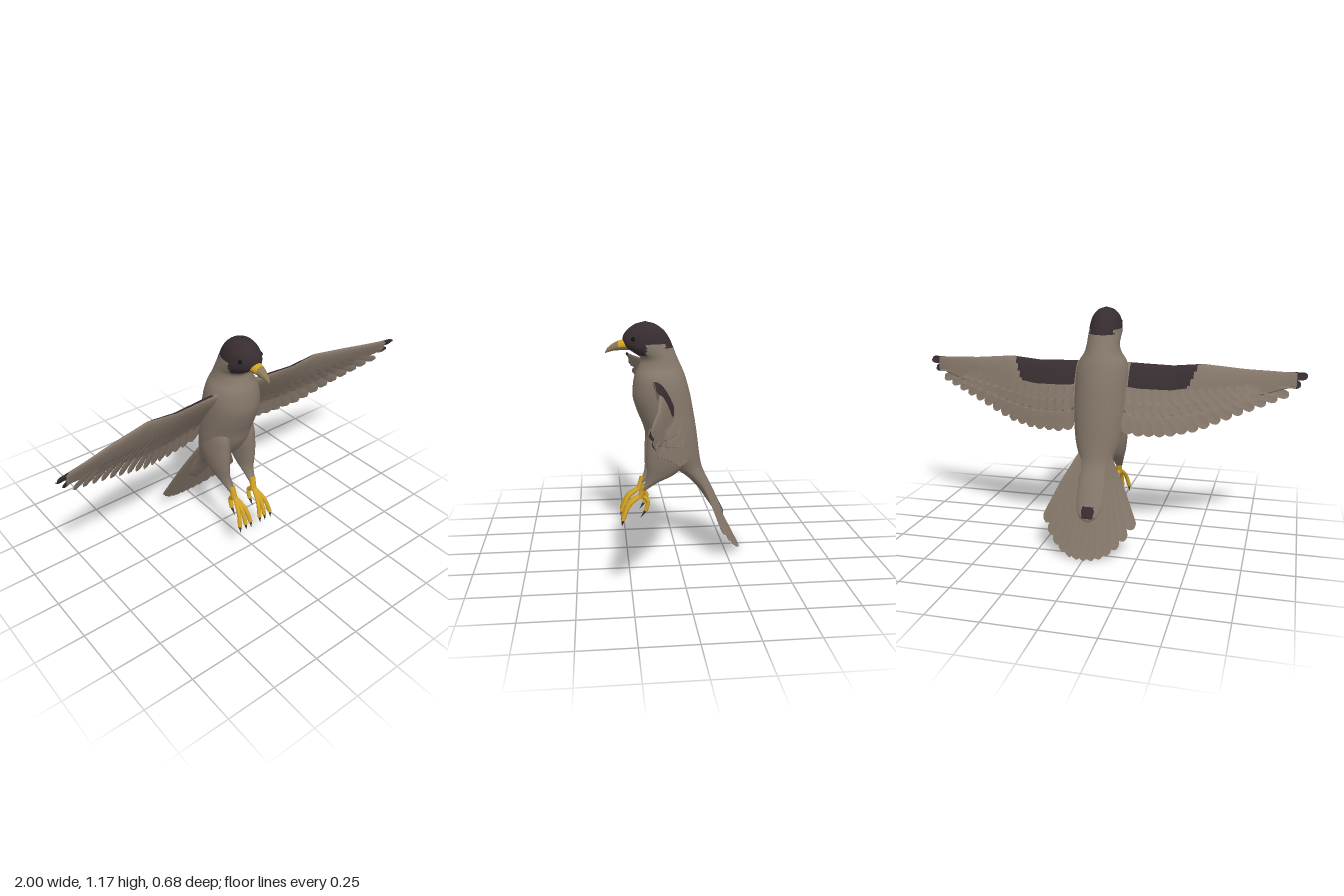
import * as THREE from 'three';

const mat = (name, color, side = THREE.FrontSide) => {
  const m = new THREE.MeshStandardMaterial({ color, side });
  m.name = name;
  return m;
};
const plumage = mat('grey-brown plumage', 0x85776a, THREE.DoubleSide);
const dark = mat('dark plumage', 0x372d30, THREE.DoubleSide);
const yellow = mat('yellow skin', 0xd2a326);
const horn = mat('beak horn', 0x8a7a58);
const claw = mat('claw', 0x3b3537);
const eyeBlack = mat('eye', 0x141214);

const { lerp, clamp } = THREE.MathUtils;

// Grid surface; pick(centroid) chooses the material index of each quad
function grid(name, rows, cols, closed, point, materials, pick = () => 0) {
  const stride = closed ? cols : cols + 1;
  const pts = [];
  for (let i = 0; i <= rows; i++)
    for (let j = 0; j < stride; j++) pts.push(point(i / rows, j / cols));
  const faces = materials.map(() => []);
  for (let i = 0; i < rows; i++)
    for (let j = 0; j < cols; j++) {
      const k = (j + 1) % stride;
      const [a, b, c, d] = [i * stride + j, i * stride + k, (i + 1) * stride + j, (i + 1) * stride + k];
      const mid = pts[a].clone().add(pts[b]).add(pts[c]).add(pts[d]).multiplyScalar(0.25);
      faces[pick(mid)].push(a, b, c, b, d, c);
    }
  const geo = new THREE.BufferGeometry().setFromPoints(pts);
  geo.setIndex(faces.flat());
  let start = 0;
  faces.forEach((f, m) => { geo.addGroup(start, f.length, m); start += f.length; });
  geo.computeVertexNormals();
  const mesh = new THREE.Mesh(geo, materials.length > 1 ? materials : materials[0]);
  mesh.name = name;
  return mesh;
}

// Smooth oval loft; each ring is [position on axis, low, high, half width, x offset]
function loft(name, rings, axis, materials, pick, cols = 40) {
  const main = new THREE.CatmullRomCurve3(rings.map(r => new THREE.Vector3(r[0], r[1], r[2])), false, 'catmullrom');
  const side = new THREE.CatmullRomCurve3(rings.map(r => new THREE.Vector3(r[3], r[4] || 0, 0)), false, 'catmullrom');
  return grid(name, (rings.length - 1) * 5, cols, true, (t, s) => {
    const p = main.getPoint(t), w = side.getPoint(t), a = s * Math.PI * 2;
    const x = w.y + Math.cos(a) * Math.max(w.x, 0.001);
    const h = (p.y + p.z) / 2 + Math.sin(a) * (p.z - p.y) / 2;
    return axis === 'y' ? new THREE.Vector3(x, p.x, h) : new THREE.Vector3(x, h, p.x);
  }, materials, pick);
}

// Flat round-tipped feather laid on the surface z = depth(x, y)
function feather(name, bx, by, tx, ty, width, depth, lift = 0, materials = [plumage], pick) {
  const len = Math.hypot(tx - bx, ty - by), nx = -(ty - by) / len, ny = (tx - bx) / len;
  const tip = clamp(width * 1.1 / len, 0.06, 0.5);
  return grid(name, 14, 4, false, (r, s) => {
    const t = Math.sin(r * Math.PI / 2);
    const round = t > 1 - tip ? Math.sqrt(Math.max(0, 1 - ((t - 1 + tip) / tip) ** 2)) : 1;
    const c = s * 2 - 1, w = c * width * Math.min(1, 0.55 + t) * round;
    const x = lerp(bx, tx, t) + nx * w, y = lerp(by, ty, t) + ny * w;
    return new THREE.Vector3(x, y, depth(x, y) + lift + 0.004 * c + 0.003 * (1 - c * c));
  }, materials, pick);
}

// Wing outline: upper and lower edges in y and z along the span
const SPAN = [0.08, 0.2, 0.35, 0.5, 0.7, 0.85, 0.95, 1.0];
const EDGE = {
  yT: [0.91, 0.905, 0.9, 0.915, 0.895, 0.885, 0.878, 0.875],
  yB: [0.6, 0.575, 0.575, 0.605, 0.69, 0.75, 0.79, 0.85],
  zT: [0.115, 0.115, 0.12, 0.118, 0.14, 0.17, 0.185, 0.195],
  zB: [-0.04, -0.04, -0.015, 0.03, 0.09, 0.14, 0.175, 0.192],
};
function edge(key, x) {
  let i = 0;
  while (i < SPAN.length - 2 && x > SPAN[i + 1]) i++;
  return lerp(EDGE[key][i], EDGE[key][i + 1], clamp((x - SPAN[i]) / (SPAN[i + 1] - SPAN[i]), 0, 1));
}
const chord = (x, y) => clamp((edge('yT', x) - y) / (edge('yT', x) - edge('yB', x)), 0, 1);
const chordY = (x, v) => lerp(edge('yT', x), edge('yB', x), v);
const wingBack = (x, y) => lerp(edge('zT', x), edge('zB', x), Math.sqrt(chord(x, y)));
const wingThick = (x, y) =>
  lerp(0.06, 0.008, clamp(x, 0, 1)) * Math.sin(Math.PI * Math.sqrt(Math.min(1, chord(x, y) / 0.72)));
const wingMid = (x, y) => wingBack(x, y) + wingThick(x, y) / 2;
const wingFront = (x, y) => wingBack(x, y) + wingThick(x, y);

function makeWing() {
  const wing = new THREE.Group();
  // Fleshy arm with the dark shoulder patch on its back
  wing.add(grid('wingArm', 60, 48, true, (u, s) => {
    const x = lerp(0.08, 0.95, u), front = s < 0.5;
    const v = 0.72 * (front ? s * 2 : 2 - s * 2) ** 1.6;
    const y = chordY(x, v);
    return new THREE.Vector3(x, y, front ? wingFront(x, y) : wingBack(x, y));
  }, [plumage, dark], p =>
    p.x > 0.14 && p.x < 0.48 - 0.15 * chord(p.x, p.y) && chord(p.x, p.y) < 0.35 && p.z < wingMid(p.x, p.y) ? 1 : 0));
  // Flight feathers, dark at the wing tip
  const count = 17;
  for (let i = 0; i < count; i++) {
    const k = i / (count - 1);
    const tx = i === count - 1 ? 1 : lerp(0.16, 0.97, i / (count - 2));
    const ty = i === count - 1 ? 0.862 : edge('yB', tx) + (i === count - 2 ? 0.005 : -0.008);
    const bx = 0.14 + (tx - 0.16) * 0.55;
    wing.add(feather('flightFeather', bx, edge('yT', bx) - lerp(0.1, 0.04, k), tx, ty,
      lerp(0.036, 0.019, k), wingMid, 0, [plumage, dark], p => (p.x > 0.945 ? 1 : 0)));
  }
  // Rows of short coverts on both faces
  for (const v of [0.74, 0.56])
    for (let i = 0; i < 14; i++) {
      const x = 0.15 + i * 0.043, tx = x + 0.02 + i * 0.004;
      const y0 = chordY(x, v - 0.2), y1 = chordY(tx, v);
      wing.add(feather('backCovert', x, y0, tx, y1, 0.025, wingBack, -0.006));
      wing.add(feather('frontCovert', x, y0, tx, y1, 0.025, wingFront, 0.004));
    }
  return wing;
}

function tube(name, points, radius, material) {
  const curve = new THREE.CatmullRomCurve3(points.map(p => new THREE.Vector3(...p)));
  const mesh = new THREE.Mesh(new THREE.TubeGeometry(curve, 12, radius, 10), material);
  mesh.name = name;
  return mesh;
}

function spike(from, to) {
  const a = new THREE.Vector3(...from), d = new THREE.Vector3(...to).sub(a);
  const mesh = new THREE.Mesh(new THREE.ConeGeometry(0.009, d.length(), 10), claw);
  mesh.position.copy(a).addScaledVector(d, 0.5);
  mesh.quaternion.setFromUnitVectors(new THREE.Vector3(0, 1, 0), d.normalize());
  mesh.name = 'claw';
  return mesh;
}

function makeLeg() {
  const leg = new THREE.Group();
  leg.add(loft('thigh', [
    [0.7, 0.03, 0.08, 0.01, 0.07], [0.66, -0.03, 0.135, 0.045, 0.075], [0.56, -0.06, 0.147, 0.052, 0.08],
    [0.48, -0.04, 0.149, 0.044, 0.081], [0.425, 0.01, 0.149, 0.034, 0.077],
    [0.385, 0.09, 0.158, 0.026, 0.071], [0.345, 0.15, 0.182, 0.017, 0.066]], 'y', [plumage], undefined, 24));
  leg.add(tube('shank', [[0.067, 0.375, 0.16], [0.065, 0.34, 0.17], [0.062, 0.3, 0.182]], 0.016, yellow));
  for (const d of [-0.032, 0, 0.037]) {
    const x = 0.062 + d;
    leg.add(tube('frontToe', [[0.062, 0.315, 0.178], [0.062 + d * 0.6, 0.268, 0.24], [x, 0.195, 0.272]], 0.0105, yellow));
    leg.add(spike([x, 0.2, 0.271], [x, 0.162, 0.278]));
  }
  leg.add(tube('backToe', [[0.062, 0.315, 0.175], [0.06, 0.28, 0.143], [0.06, 0.23, 0.155]], 0.0105, yellow));
  leg.add(spike([0.06, 0.235, 0.153], [0.06, 0.193, 0.182]));
  return leg;
}

export function createModel() {
  const bird = new THREE.Group();
  bird.name = 'bird';

  // Head, trunk and rump in one skin, with dark hood, cheek stripes and rump spot
  bird.add(loft('body', [
    [1.178, 0.14, 0.15, 0.004], [1.165, 0.095, 0.195, 0.04], [1.135, 0.055, 0.235, 0.066],
    [1.1, 0.03, 0.255, 0.077], [1.06, 0.012, 0.247, 0.082], [1.03, 0, 0.205, 0.082],
    [1.0, -0.012, 0.168, 0.082], [0.96, -0.03, 0.18, 0.093], [0.92, -0.047, 0.198, 0.118],
    [0.87, -0.062, 0.208, 0.133], [0.81, -0.077, 0.21, 0.137], [0.74, -0.09, 0.19, 0.137],
    [0.67, -0.102, 0.162, 0.135], [0.6, -0.112, 0.14, 0.13], [0.52, -0.122, 0.09, 0.115],
    [0.45, -0.135, 0.02, 0.088], [0.4, -0.155, -0.05, 0.076], [0.34, -0.185, -0.11, 0.072],
    [0.26, -0.222, -0.165, 0.068], [0.2, -0.25, -0.205, 0.05], [0.17, -0.25, -0.235, 0.006],
  ], 'y', [plumage, dark], p => {
    const hood = p.y > 1.078 || (p.y > 1.055 && p.z < 0.05);
    const stripe = p.y > 1.02 && p.z > 0.145 && Math.abs(p.x) > 0.03;
    const spot = p.y > 0.195 && p.y < 0.25 && Math.abs(p.x) < 0.03 && p.z < -0.21;
    return hood || stripe || spot ? 1 : 0;
  }, 56));

  // Hooked beak with yellow cere
  bird.add(loft('beak', [
    [0.22, 1.04, 1.1, 0.034], [0.27, 1.04, 1.089, 0.026], [0.3, 1.038, 1.075, 0.018],
    [0.328, 1.031, 1.054, 0.01], [0.34, 1.026, 1.033, 0.002]], 'z', [horn, yellow],
    p => (p.z < 0.278 && p.y > 1.058 ? 1 : 0), 24));

  // Fanned tail with side feathers curving forward
  const tailDepth = (x, y) => -0.11 - (0.45 - y) * 0.5 + 0.7 * x * x;
  const tail = new THREE.Group();
  tail.name = 'tail';
  for (let i = -6; i <= 6; i++) {
    const s = i / 6;
    tail.add(feather('tailFeather', s * 0.06, 0.49, s * 0.222, 0.008 + 0.14 * Math.abs(s) ** 2.4, 0.028, tailDepth));
  }
  bird.add(tail);

  // Mirrored pairs
  for (const [side, sign] of [['left', 1], ['right', -1]]) {
    const wing = makeWing(), leg = makeLeg();
    const eye = new THREE.Mesh(new THREE.SphereGeometry(0.012, 14, 10), eyeBlack);
    eye.position.set(0.058, 1.1, 0.205);
    wing.name = side + 'Wing';
    leg.name = side + 'Leg';
    eye.name = side + 'Eye';
    const half = new THREE.Group();
    half.name = side + 'Side';
    half.scale.x = sign;
    half.add(wing, leg, eye);
    bird.add(half);
  }
  return bird;
}
